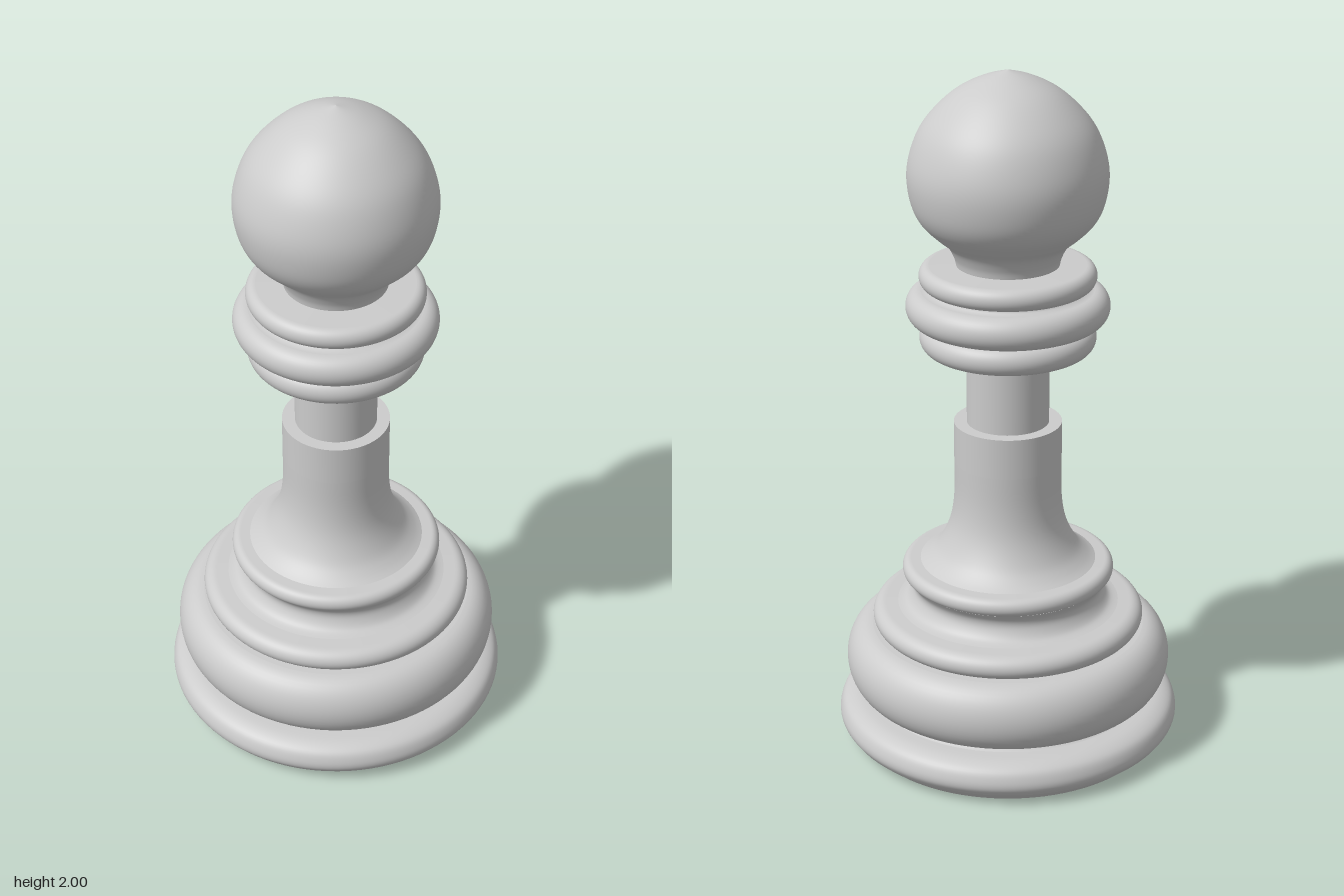
import * as THREE from 'three';
import { mergeGeometries } from 'three/addons/utils/BufferGeometryUtils.js';

const SIDES = 96;
const material = new THREE.MeshStandardMaterial({ color: 0xcccccc, side: THREE.DoubleSide });

// Smooth profile through [radius, height] points
function smooth(points, steps = 24) {
  return new THREE.SplineCurve(points.map(([r, y]) => new THREE.Vector2(r, y))).getPoints(steps);
}

// Straight profile
function line(...points) {
  return points.map(([r, y]) => new THREE.Vector2(r, y));
}

// Half-ellipse bead bulging from radius inner to outer between two heights
function bead(y0, y1, inner, outer, steps = 20) {
  return Array.from({ length: steps + 1 }, (_, i) => {
    const a = -Math.PI / 2 + (Math.PI * i) / steps;
    return new THREE.Vector2(
      inner + (outer - inner) * Math.cos(a),
      (y0 + y1) / 2 + ((y1 - y0) / 2) * Math.sin(a)
    );
  });
}

// Each profile is turned separately, so edges between them stay sharp
function turned(name, ...profiles) {
  const geometry = mergeGeometries(profiles.map((p) => new THREE.LatheGeometry(p, SIDES)));
  const mesh = new THREE.Mesh(geometry, material);
  mesh.name = name;
  return mesh;
}

export function createModel() {
  const model = new THREE.Group();
  model.name = 'pawn';

  model.add(
    // Foot with a bevelled lower edge and a groove above
    turned('foot',
      line([0, 0], [0.45, 0]),
      line([0.45, 0], [0.488, 0.033]),
      smooth([[0.488, 0.033], [0.502, 0.055], [0.502, 0.08], [0.488, 0.108], [0.455, 0.124], [0.41, 0.128]]),
      line([0.41, 0.128], [0.395, 0.134], [0.395, 0.145])),

    // Stacked beads of the base
    turned('baseBulge',
      line([0.36, 0.142], [0.4, 0.142]),
      bead(0.142, 0.345, 0.4, 0.478),
      line([0.4, 0.345], [0.34, 0.345])),
    turned('baseRing', bead(0.342, 0.412, 0.36, 0.398), line([0.36, 0.412], [0.325, 0.414])),
    turned('baseCove', smooth([[0.335, 0.412], [0.3, 0.422], [0.28, 0.45], [0.279, 0.475], [0.295, 0.5]])),
    turned('upperBaseRing',
      line([0.27, 0.498], [0.285, 0.498]),
      bead(0.498, 0.55, 0.285, 0.309),
      line([0.285, 0.55], [0.24, 0.552])),

    // Flared sleeve with a flat rim
    turned('sleeve',
      smooth([[0.262, 0.548], [0.235, 0.565], [0.205, 0.595], [0.178, 0.645], [0.162, 0.7], [0.155, 0.77], [0.155, 0.86]]),
      line([0.155, 0.86], [0.155, 0.98]),
      line([0.155, 0.98], [0.1, 0.98])),

    // Thin post between sleeve and collar
    turned('post', line([0.118, 0.95], [0.118, 1.21])),

    // Three collar rings
    turned('lowerCollarRing',
      line([0.1, 1.2], [0.215, 1.2]),
      bead(1.2, 1.278, 0.215, 0.25),
      line([0.215, 1.278], [0.215, 1.295])),
    turned('middleCollarRing',
      line([0.2, 1.284], [0.245, 1.284]),
      bead(1.284, 1.378, 0.245, 0.288),
      line([0.245, 1.378], [0.215, 1.378], [0.215, 1.395])),
    turned('upperCollarRing',
      line([0.2, 1.388], [0.222, 1.388]),
      bead(1.388, 1.45, 0.222, 0.25),
      line([0.222, 1.45], [0.14, 1.452])),

    // Neck and round head rising to a slight point
    turned('head', smooth([
      [0.145, 1.45], [0.151, 1.475], [0.17, 1.51], [0.206, 1.541], [0.244, 1.58], [0.268, 1.63], [0.279, 1.7],
      [0.271, 1.765], [0.244, 1.835], [0.2, 1.893], [0.14, 1.945], [0.07, 1.98], [0, 2],
    ], 72))
  );
  return model;
}
